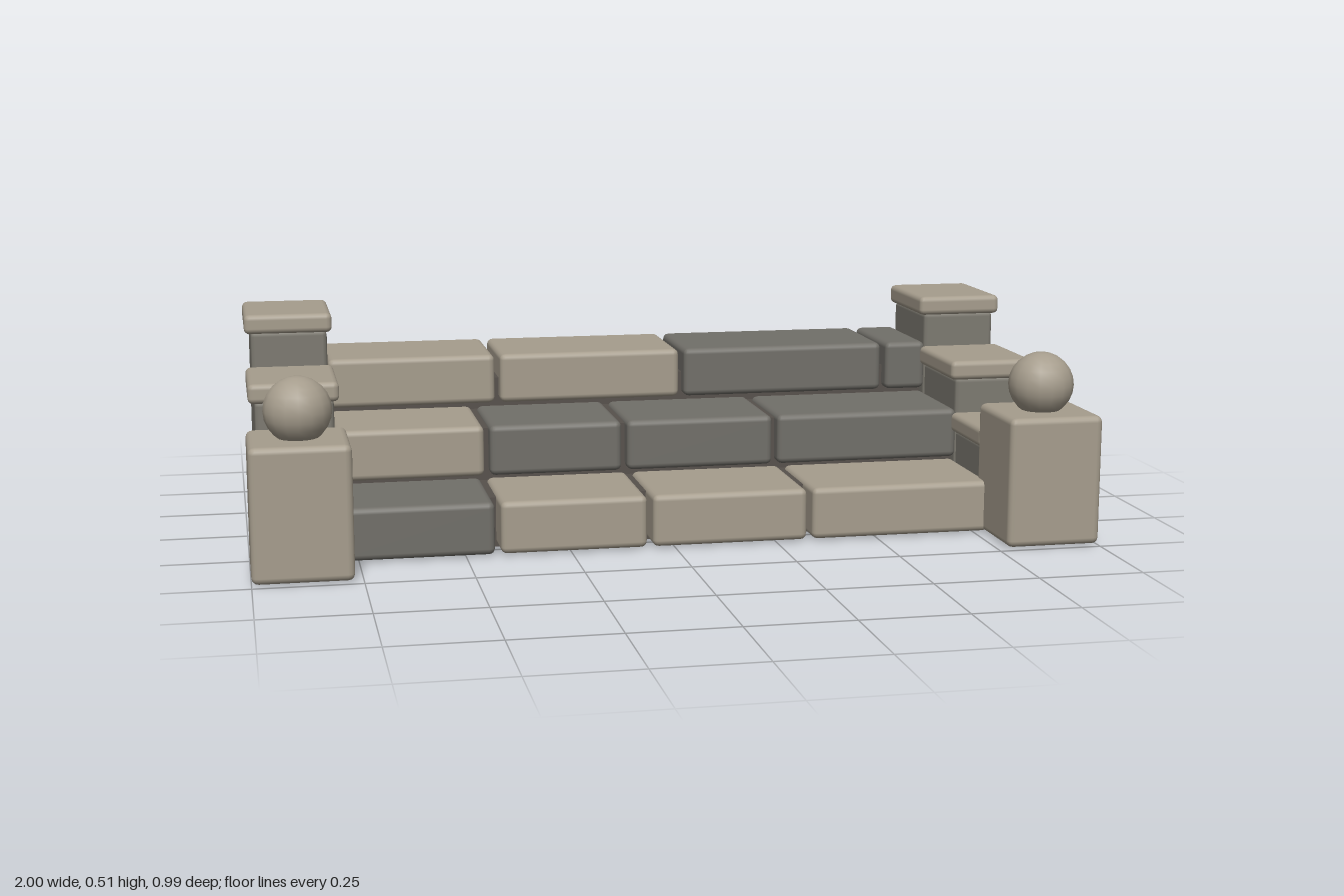
import * as THREE from 'three';
import { RoundedBoxGeometry } from 'three/addons/geometries/RoundedBoxGeometry.js';

const material = (name, color) => {
  const m = new THREE.MeshStandardMaterial({ color });
  m.name = name;
  return m;
};

export function createModel() {
  const light = material('lightStone', 0xa69d8d);
  const dark = material('darkStone', 0x716f69);
  const wall = material('wallStone', 0x7d7a71);
  const core = material('coreStone', 0x57514c);

  const model = new THREE.Group();
  model.name = 'stoneSteps';

  // Box given by its limits, with softened edges of radius r
  function block(name, mat, [x0, x1], [y0, y1], [z0, z1], r = 0.015, segments = 2) {
    const w = x1 - x0, h = y1 - y0, d = z1 - z0;
    const geometry = r > 0 ? new RoundedBoxGeometry(w, h, d, segments, r) : new THREE.BoxGeometry(w, h, d);
    const mesh = new THREE.Mesh(geometry, mat);
    mesh.name = name;
    mesh.position.set((x0 + x1) / 2, (y0 + y1) / 2, (z0 + z1) / 2);
    model.add(mesh);
  }

  // Three rows of step stones: height, depth and the x limits of each stone
  const rows = [
    { name: 'lowerStep', y: [0.004, 0.13], z: [0.03, 0.32],
      stones: [[-0.785, -0.432, dark], [-0.418, -0.068, light], [-0.054, 0.324, light], [0.338, 0.785, light]] },
    { name: 'middleStep', y: [0.137, 0.262], z: [-0.23, 0.06],
      stones: [[-0.785, -0.424, light], [-0.41, -0.082, dark], [-0.068, 0.302, dark], [0.316, 0.785, dark]] },
    { name: 'upperStep', y: [0.27, 0.395], z: [-0.495, -0.205],
      stones: [[-0.785, -0.363, light], [-0.349, 0.118, light], [0.132, 0.664, dark], [0.678, 0.785, dark]] },
  ];
  for (const row of rows) {
    for (const [x0, x1, mat] of row.stones) block(row.name + 'Stone', mat, [x0, x1], row.y, row.z);
  }

  // Plain stepped core behind and beneath the stones
  block('coreBase', core, [-0.79, 0.79], [0, 0.12], [-0.45, 0.22], 0);
  block('coreMiddle', core, [-0.79, 0.79], [0.12, 0.25], [-0.45, 0.02], 0);
  block('coreTop', core, [-0.79, 0.79], [0.25, 0.33], [-0.45, -0.245], 0);

  // Stepped side walls with caps, end posts and balls
  const piers = [
    { name: 'front', top: 0.207, z: [0.05, 0.28], cap: [0.045, 0.275] },
    { name: 'middle', top: 0.338, z: [-0.212, 0.048], cap: [-0.218, 0.055] },
    { name: 'back', top: 0.468, z: [-0.476, -0.215], cap: [-0.484, -0.209] },
  ];
  for (const side of [-1, 1]) {
    const span = (a, b) => (side > 0 ? [a, b] : [-b, -a]);
    for (const p of piers) {
      block(p.name + 'Pier', wall, span(0.785, 0.975), [0, p.top], p.z, 0.011, 1);
      block(p.name + 'Cap', light, span(0.772, 0.99), [p.top - 0.004, p.top + 0.045], p.cap, 0.014);
    }
    block('endPost', light, span(0.77, 1), [0.004, 0.316], [0.262, 0.495], 0.016);

    const ball = new THREE.Mesh(new THREE.SphereGeometry(0.078, 16, 12), light);
    ball.name = 'postBall';
    ball.position.set(side * 0.884, 0.378, 0.378);
    model.add(ball);
  }

  return model;
}
